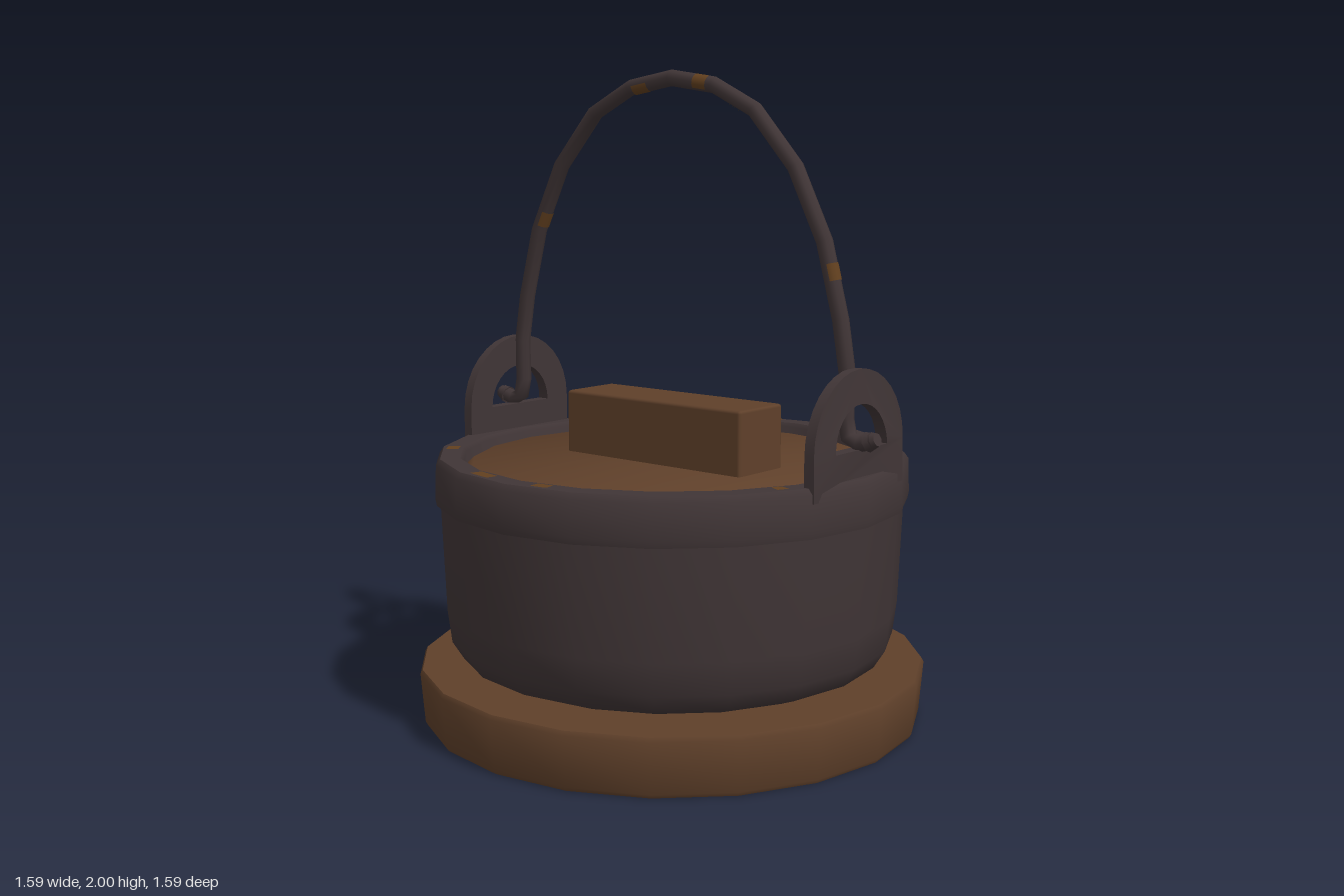
import * as THREE from 'three';
import { toCreasedNormals } from 'three/addons/utils/BufferGeometryUtils.js';
import { RoundedBoxGeometry } from 'three/addons/geometries/RoundedBoxGeometry.js';

const SIDES = 20;

function paint(name, color) {
  const m = new THREE.MeshStandardMaterial({ color });
  m.name = name;
  return m;
}

function lathe(profile) {
  const pts = profile.map(([r, y]) => new THREE.Vector2(r, y));
  return toCreasedNormals(new THREE.LatheGeometry(pts, SIDES), 0.75);
}

// Straight-segment curve with one tube ring per point
class Polyline extends THREE.Curve {
  constructor(points) {
    super();
    this.points = points;
  }
  getPoint(t, target = new THREE.Vector3()) {
    const last = this.points.length - 1;
    const s = THREE.MathUtils.clamp(t, 0, 1) * last;
    const i = Math.min(Math.floor(s), last - 1);
    return target.lerpVectors(this.points[i], this.points[i + 1], s - i);
  }
  getPointAt(u, target) {
    return this.getPoint(u, target);
  }
  getTangentAt(u, target = new THREE.Vector3()) {
    const d = 0.01;
    return target.copy(this.getPoint(u + d)).sub(this.getPoint(u - d)).normalize();
  }
}

// Arched plate with a half-round opening, thickened outward at its foot
function earGeometry() {
  const shape = new THREE.Shape();
  shape.moveTo(-0.225, 0.79);
  shape.lineTo(0.225, 0.79);
  shape.lineTo(0.225, 0.92);
  shape.absarc(0, 0.92, 0.225, 0, Math.PI, false);
  shape.closePath();
  const hole = new THREE.Path();
  hole.absarc(0, 0.915, 0.13, 0, Math.PI, false);
  hole.closePath();
  shape.holes.push(hole);
  const geo = new THREE.ExtrudeGeometry(shape, { depth: 0.03, bevelEnabled: false, curveSegments: 8 });
  geo.rotateY(Math.PI / 2).translate(0.67, 0, 0);
  const p = geo.attributes.position;
  for (let i = 0; i < p.count; i++) {
    if (p.getX(i) < 0.69) continue;
    const low = THREE.MathUtils.clamp((1.1 - p.getY(i)) / 0.27, 0, 1);
    p.setX(i, p.getX(i) + 0.03 * low * (1 - Math.abs(p.getZ(i)) / 0.26));
  }
  return toCreasedNormals(geo, 0.6);
}

export function createModel() {
  const group = new THREE.Group();
  const iron = paint('dark iron', 0x403536);
  const wood = paint('brown wood', 0x5f402a);
  const rust = paint('rust', 0x62401f);
  const add = (name, geo, mat) => {
    const mesh = new THREE.Mesh(geo, mat);
    mesh.name = name;
    group.add(mesh);
    return mesh;
  };

  // Wooden stand
  add('stand', lathe([[0, 0], [0.775, 0], [0.782, 0.012], [0.795, 0.165], [0.788, 0.178], [0, 0.178]]), wood);

  // Iron pot with a raised band below the rim
  add('pot', lathe([
    [0, 0.18], [0.6, 0.18], [0.66, 0.205], [0.695, 0.26], [0.708, 0.36], [0.722, 0.69],
    [0.734, 0.69], [0.738, 0.71], [0.735, 0.815], [0.722, 0.833], [0.66, 0.833], [0.65, 0.82],
    [0.645, 0.36], [0.6, 0.25], [0, 0.24],
  ]), iron);

  // Sunken lid and its grip
  add('lid', lathe([[0, 0.72], [0.645, 0.72], [0.645, 0.785], [0.625, 0.803], [0, 0.803]]), wood);
  const grip = add('lidGrip', new RoundedBoxGeometry(0.7, 0.22, 0.21, 1, 0.01), wood);
  grip.position.y = 0.89;

  // Ears on both sides
  for (const side of [1, -1]) {
    const ear = add(side > 0 ? 'leftEar' : 'rightEar', earGeometry(), iron);
    if (side < 0) ear.rotation.y = Math.PI;
  }

  // Bail handle, mirrored from one half, hooked through the ears
  const half = [
    [0.75, 0.945], [0.7, 0.93], [0.665, 0.945], [0.652, 1.0], [0.655, 1.13], [0.63, 1.28],
    [0.571, 1.5], [0.466, 1.71], [0.317, 1.875], [0.164, 1.95],
  ];
  const path = [
    ...half.map(([x, y]) => new THREE.Vector3(-x, y, 0)),
    new THREE.Vector3(0, 1.975, 0),
    ...half.slice().reverse().map(([x, y]) => new THREE.Vector3(x, y, 0)),
  ];
  add('bail', new THREE.TubeGeometry(new Polyline(path), path.length - 1, 0.025, 8, false), iron);
  for (const side of [1, -1]) {
    const knob = add('bailKnob', new THREE.CylinderGeometry(0.02, 0.03, 0.035, 8), iron);
    knob.position.set(side * 0.745, 0.943, 0);
    knob.rotation.z = -side * 1.25;
  }

  // Rust flecks on the rim: x, z, arc angle
  const rimFlecks = [
    [-0.14, 0.67, 0.13], [0.1, 0.67, 0.08], [-0.11, -0.69, 0.08], [-0.23, -0.66, 0.06],
    [-0.6, -0.34, 0.06], [0.17, -0.67, 0.05], [-0.54, 0.43, 0.08], [0.63, 0.28, 0.05],
  ];
  for (const [x, z, arc] of rimFlecks) {
    const geo = new THREE.RingGeometry(0.667, 0.705, 2, 1, Math.atan2(-z, x) - arc / 2, arc);
    add('rimRust', geo.rotateX(-Math.PI / 2).translate(0, 0.835, 0), rust);
  }

  // Rust flecks on the bail: segment index, position along it, length, start angle
  const bailFlecks = [[6, 0.2, 0.05, 0.3], [7, 0.2, 0.06, 2], [9, 0.3, 0.06, 0], [10, 0.75, 0.05, 5], [11, 0.6, 0.06, 1], [14, 0.4, 0.05, 4]];
  for (const [i, t, len, start] of bailFlecks) {
    const dir = path[i + 1].clone().sub(path[i]).normalize();
    const geo = new THREE.CylinderGeometry(0.0265, 0.0265, len, 4, 1, true, start, 2);
    const fleck = add('bailRust', geo, rust);
    fleck.position.lerpVectors(path[i], path[i + 1], t);
    fleck.quaternion.setFromUnitVectors(new THREE.Vector3(0, 1, 0), dir);
  }

  return group;
}
